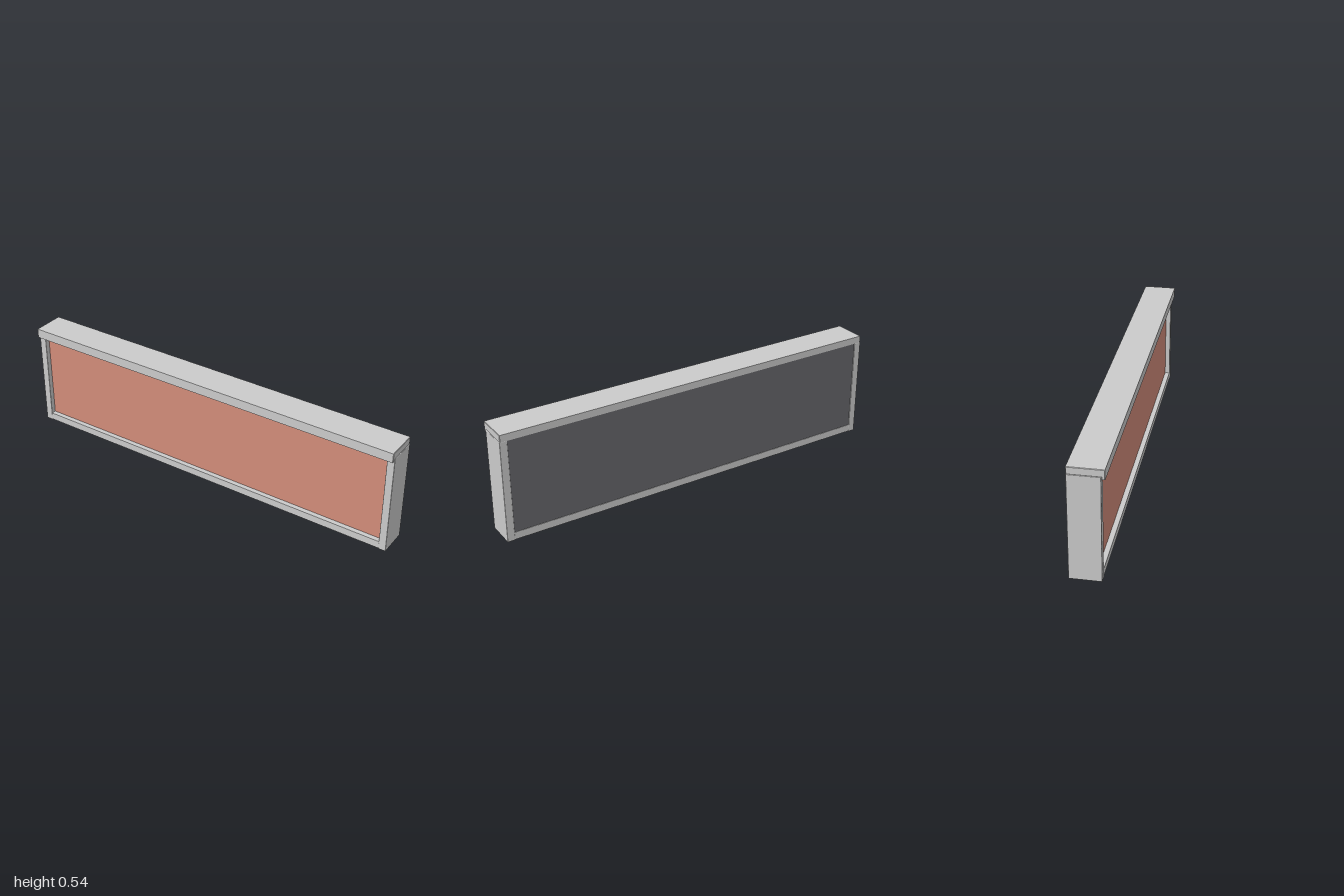
import * as THREE from 'three';
import { RoundedBoxGeometry } from 'three/addons/geometries/RoundedBoxGeometry.js';

const grey = new THREE.MeshStandardMaterial({ color: 0xcccccc });
const coral = new THREE.MeshStandardMaterial({ color: 0xd28c7a });
const dark = new THREE.MeshStandardMaterial({ color: 0x68686c });

// Box given by its min and max corners, with optional softened edges
function block(name, min, max, material, radius = 0) {
  const size = max.map((v, i) => v - min[i]);
  const geometry = radius
    ? new RoundedBoxGeometry(...size, 2, radius)
    : new THREE.BoxGeometry(...size);
  const mesh = new THREE.Mesh(geometry, material);
  mesh.name = name;
  mesh.position.set(...max.map((v, i) => (v + min[i]) / 2));
  return mesh;
}

export function createModel() {
  const model = new THREE.Group();
  model.name = 'framedPanel';

  // End posts
  model.add(block('leftPost', [0.963, 0, -0.08], [1, 0.506, 0.065], grey, 0.003));
  model.add(block('rightPost', [-1, 0, -0.08], [-0.963, 0.506, 0.065], grey, 0.003));

  // Bottom rail between the posts
  model.add(block('bottomRail', [-0.964, 0.003, -0.079], [0.964, 0.04, 0.064], grey));

  // Recessed front panel, stopping just short of the cap
  model.add(block('frontPanel', [-0.964, 0.038, 0.03], [0.964, 0.472, 0.04], coral));

  // Back board, almost flush with the frame
  model.add(block('backBoard', [-0.964, 0.038, -0.077], [0.964, 0.506, -0.065], dark));

  // Cap with a lip hanging over the front, drawn in section and run along x
  const section = new THREE.Shape([
    [-0.08, 0.505], [0.066, 0.505], [0.066, 0.493],
    [0.081, 0.493], [0.081, 0.54], [-0.08, 0.54],
  ].map(([z, y]) => new THREE.Vector2(z, y)));
  const bevel = 0.002;
  const length = 1.996;
  const capGeometry = new THREE.ExtrudeGeometry(section, {
    depth: length - 2 * bevel, bevelThickness: bevel, bevelSize: bevel,
    bevelOffset: -bevel, bevelSegments: 1,
  });
  capGeometry.translate(0, 0, bevel - length / 2).rotateY(-Math.PI / 2);
  const cap = new THREE.Mesh(capGeometry, grey);
  cap.name = 'topCap';
  model.add(cap);

  return model;
}
